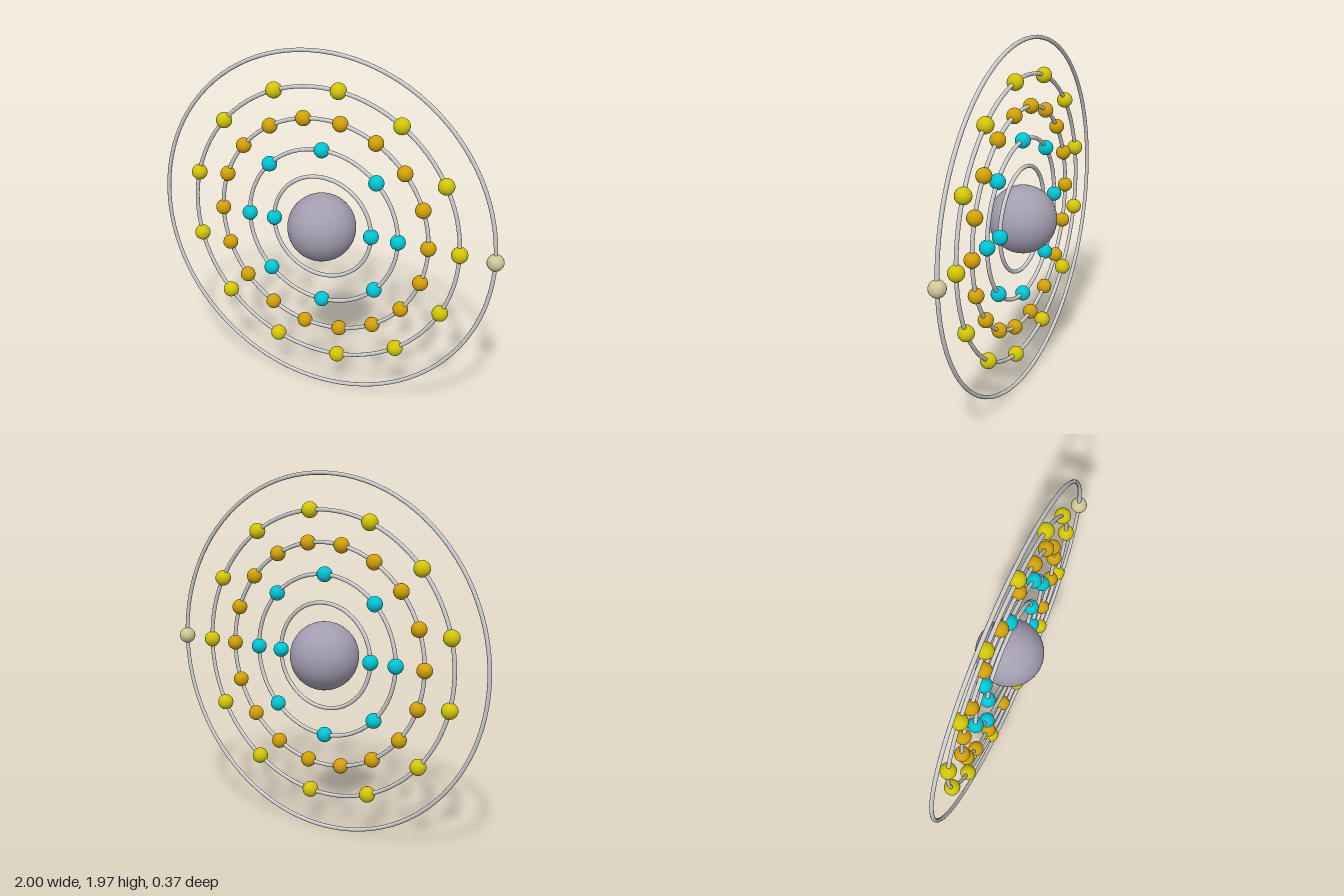
import * as THREE from 'three';

const CENTER = new THREE.Vector3(-0.017, 0.983, 0);
const TUBE = 0.011;

// One entry per shell: ring radius, number of electrons, electron size and colour
const SHELLS = [
  { radius: 0.289, count: 2, size: 0.042, color: 0x00c4d4 },
  { radius: 0.442, count: 8, size: 0.042, color: 0x00c4d4 },
  { radius: 0.612, count: 18, size: 0.042, color: 0xd0a008 },
  { radius: 0.782, count: 13, size: 0.044, color: 0xd0c408 },
  { radius: 0.972, count: 1, size: 0.045, color: 0xcfc696 },
];

export function createModel() {
  const model = new THREE.Group();
  model.name = 'atomModel';

  const atom = new THREE.Group();
  atom.name = 'atom';
  atom.position.copy(CENTER);
  model.add(atom);

  // Nucleus, finely faceted
  const nucleus = new THREE.Mesh(
    new THREE.IcosahedronGeometry(0.186, 9),
    new THREE.MeshStandardMaterial({ color: 0xa39db0, flatShading: true })
  );
  nucleus.name = 'nucleus';
  atom.add(nucleus);

  const ringMaterial = new THREE.MeshStandardMaterial({ color: 0xcccccc });

  SHELLS.forEach(({ radius, count, size, color }, i) => {
    const shell = new THREE.Group();
    shell.name = `shell${i + 1}`;
    atom.add(shell);

    // Orbit ring in the upright plane
    const ring = new THREE.Mesh(new THREE.TorusGeometry(radius, TUBE, 12, 96), ringMaterial);
    ring.name = 'orbitRing';
    shell.add(ring);

    // Electrons spaced evenly, starting at +x
    const geometry = new THREE.SphereGeometry(size, 24, 16);
    const material = new THREE.MeshStandardMaterial({ color });
    for (let k = 0; k < count; k++) {
      const angle = (k / count) * Math.PI * 2;
      const electron = new THREE.Mesh(geometry, material);
      electron.name = `electron${k + 1}`;
      electron.position.set(radius * Math.cos(angle), radius * Math.sin(angle), 0);
      shell.add(electron);
    }
  });

  return model;
}
